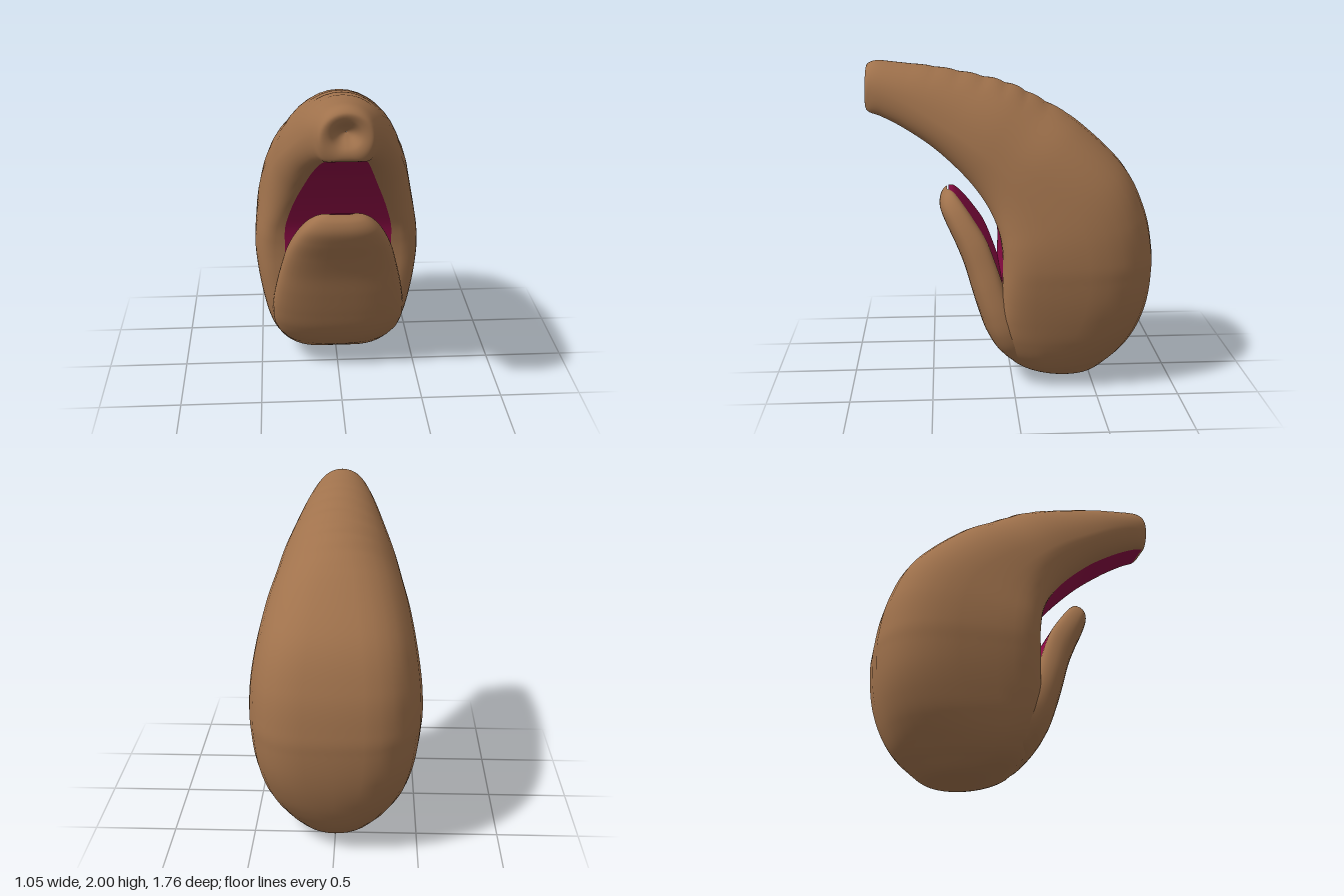
import * as THREE from 'three';

const STEPS = 10; // rows between two key sections
const FLAT = 8, ARC = 9;
const { smoothstep, clamp } = THREE.MathUtils;
const brown = new THREE.MeshStandardMaterial({ color: 0xa0724c });
const burgundy = new THREE.MeshStandardMaterial({ color: 0x8c0a44, side: THREE.DoubleSide });

// One ring: a flat stretch on the mouth side, then a rounded outline to the far side.
// Points are [x, v], v running 0..1 from the mouth side to the far side, widest at v = mid.
// A power of 1 is an ellipse, less is boxier.
function ringPoints(w, m, power, mid) {
  const half = [];
  const pw = (a) => Math.pow(Math.max(a, 0), power);
  for (let i = 1; i <= ARC; i++) {
    const a = (i / ARC) * Math.PI / 2;
    half.push([m + (w - m) * pw(Math.sin(a)), mid * (1 - pw(Math.cos(a)))]);
  }
  for (let i = 1; i <= ARC; i++) {
    const a = (i / ARC) * Math.PI / 2;
    half.push([w * pw(Math.cos(a)), mid + (1 - mid) * pw(Math.sin(a))]);
  }
  const pts = [];
  for (let i = 0; i <= FLAT; i++) pts.push([m * (2 * i / FLAT - 1), 0]);
  pts.push(...half);
  for (let i = half.length - 2; i >= 0; i--) pts.push([-half[i][0], half[i][1]]);
  return pts;
}

// Skins key sections [nearZ, nearY, farZ, farY, halfWidth, flatHalfWidth].
// Flat quads between key sections from..to become the mouth lining.
function loft(keys, { from, to, mid, power, bump = () => 0 }) {
  const curve = (o) => new THREE.CatmullRomCurve3(
    keys.map((k) => new THREE.Vector3(k[o], k[o + 1], k[o + 2])), false, 'catmullrom', 0.5);
  const c1 = curve(0), c2 = curve(3);
  const rows = (keys.length - 1) * STEPS;
  const pos = [], skin = [], lining = [];
  let n = 0;
  for (let r = 0; r <= rows; r++) {
    const a = c1.getPoint(r / rows), b = c2.getPoint(r / rows);
    const w = Math.max(b.y, 0.002), m = clamp(b.z, 0.001, w * 0.95);
    const ring = ringPoints(w, m, power(w), mid(w));
    n = ring.length;
    for (const [x, v] of ring) {
      const s = v + bump(r / STEPS, x, v);
      pos.push(x, a.y + (b.x - a.y) * s, a.x + (a.z - a.x) * s);
    }
  }
  for (let r = 0; r < rows; r++) {
    for (let j = 0; j < n; j++) {
      const k = (j + 1) % n;
      const p = r * n + j, q = r * n + k;
      const isMouth = j < FLAT && r >= from * STEPS && r < to * STEPS;
      (isMouth ? lining : skin).push(p, q, q + n, p, q + n, p + n);
    }
  }
  return [skin, lining].map((index) => {
    const g = new THREE.BufferGeometry();
    g.setAttribute('position', new THREE.Float32BufferAttribute(pos, 3));
    g.setIndex(index);
    g.computeVertexNormals();
    return g;
  });
}

function addPart(group, name, liningName, geometries) {
  const skin = new THREE.Mesh(geometries[0], brown);
  const lining = new THREE.Mesh(geometries[1], burgundy);
  skin.name = name;
  lining.name = liningName;
  group.add(skin, lining);
}

export function createModel() {
  const group = new THREE.Group();
  group.name = 'trunkedHead';

  // Head and trunk, from the underside up to the nostril dimple
  const head = [
    [-0.4, 0.002, -0.41, 0.002, 0.002, 0.001],
    [-0.2, 0.025, -0.55, 0.025, 0.2, 0.06],
    [-0.03, 0.1, -0.655, 0.1, 0.325, 0.13],
    [0.05, 0.2, -0.735, 0.18, 0.40, 0.2],
    [0.075, 0.32, -0.795, 0.29, 0.447, 0.27],
    [0.075, 0.45, -0.84, 0.42, 0.478, 0.31],
    [0.07, 0.58, -0.868, 0.56, 0.502, 0.33],
    [0.068, 0.69, -0.88, 0.71, 0.517, 0.335],
    [0.065, 0.8, -0.877, 0.84, 0.525, 0.335],
    [0.07, 0.9, -0.83, 1.08, 0.516, 0.335],
    [0.09, 1.01, -0.7, 1.35, 0.487, 0.33],
    [0.14, 1.13, -0.42, 1.62, 0.445, 0.3],
    [0.22, 1.25, -0.2, 1.755, 0.404, 0.262],
    [0.33, 1.37, 0.0, 1.855, 0.362, 0.22],
    [0.48, 1.5, 0.22, 1.915, 0.308, 0.177],
    [0.65, 1.61, 0.46, 1.962, 0.25, 0.14],
    [0.78, 1.675, 0.68, 1.988, 0.2, 0.115],
    [0.855, 1.70, 0.81, 2.0, 0.165, 0.095],
    [0.88, 1.725, 0.868, 1.975, 0.14, 0.04],
    [0.872, 1.77, 0.862, 1.93, 0.09, 0.015],
    [0.82, 1.82, 0.82, 1.88, 0.04, 0.01],
    [0.8, 1.849, 0.8, 1.851, 0.002, 0.001],
  ];
  // Skin folds over the top of the trunk
  const folds = (t, x, v) => {
    if (t < 11 || t > 16 || v < 0.6) return 0;
    const fade = Math.sin(Math.PI * (t - 11) / 5) * Math.max(0, 1 - (x / 0.22) ** 2);
    return 0.02 * fade * (Math.abs(Math.sin(Math.PI * 1.6 * t)) - 0.6);
  };
  addPart(group, 'headAndTrunk', 'mouthRoof', loft(head, {
    from: 6, to: 17, bump: folds,
    mid: (w) => 0.46 - 0.15 * smoothstep(w, 0.16, 0.32),
    power: (w) => 1 - 0.37 * smoothstep(w, 0.38, 0.52),
  }));

  // Lower jaw, from the lip down the chin to its root inside the head
  const jaw = [
    [0.385, 1.212, 0.395, 1.21, 0.07, 0.06],
    [0.35, 1.195, 0.433, 1.165, 0.155, 0.11],
    [0.3, 1.14, 0.442, 1.1, 0.22, 0.17],
    [0.235, 1.05, 0.41, 1.01, 0.275, 0.22],
    [0.16, 0.93, 0.355, 0.89, 0.325, 0.27],
    [0.105, 0.79, 0.3, 0.75, 0.362, 0.31],
    [0.06, 0.66, 0.257, 0.6, 0.393, 0.33],
    [0.0, 0.52, 0.212, 0.45, 0.415, 0.33],
    [-0.06, 0.4, 0.165, 0.32, 0.415, 0.32],
    [-0.12, 0.3, 0.09, 0.2, 0.38, 0.27],
    [-0.2, 0.23, -0.02, 0.115, 0.3, 0.18],
    [-0.25, 0.2, -0.2, 0.12, 0.002, 0.001],
  ];
  addPart(group, 'lowerJaw', 'mouthFloor', loft(jaw, {
    from: 0, to: 7, mid: () => 0.4, power: () => 0.78,
  }));

  return group;
}
